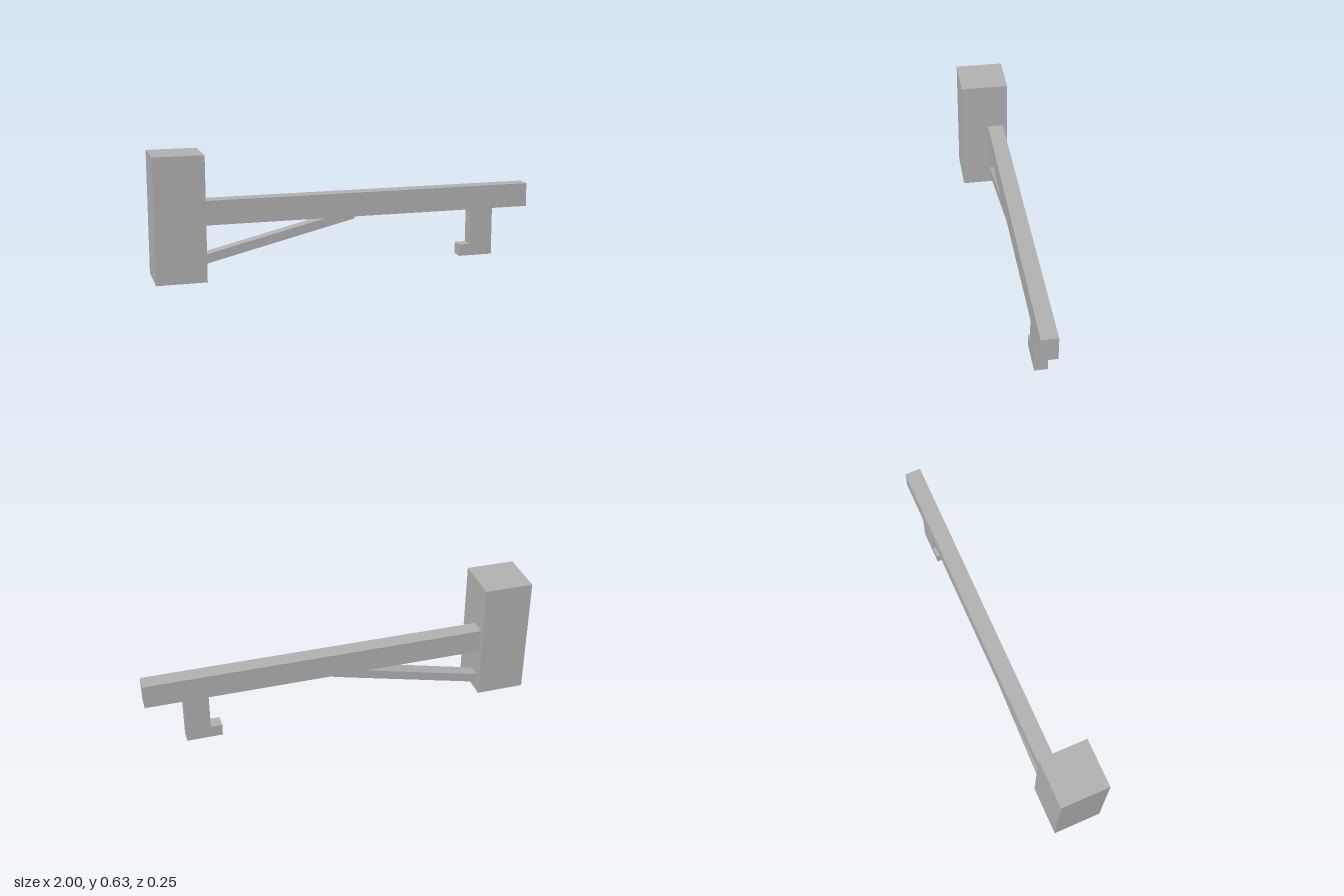
import * as THREE from 'three';

export function createModel() {
  const model = new THREE.Group();
  const grey = new THREE.MeshStandardMaterial({ color: 0xb2b2b2 });
  grey.name = 'plain grey';

  // Extrudes a front outline between two depths
  function slab(name, points, zBack, zFront) {
    const shape = new THREE.Shape(points.map(([x, y]) => new THREE.Vector2(x, y)));
    const geometry = new THREE.ExtrudeGeometry(shape, { depth: zFront - zBack, bevelEnabled: false });
    geometry.translate(0, 0, zBack);
    const mesh = new THREE.Mesh(geometry, grey);
    mesh.name = name;
    model.add(mesh);
  }

  const rect = (x0, x1, y0, y1) => [[x0, y0], [x1, y0], [x1, y1], [x0, y1]];

  // Upright post and the beam reaching out from its side
  slab('post', rect(-1, -0.75, 0, 0.627), -0.125, 0.125);
  slab('beam', rect(-0.75, 1, 0.252, 0.376), -0.1, -0.017);

  // Sloping brace, its upper end let into the beam
  slab('brace', [[-0.75, 0.05], [0.042, 0.24], [0.042, 0.288], [-0.75, 0.098]], -0.091, -0.025);

  // Hanging hook with a toe pointing back to the post
  slab('hook', [[0.625, 0], [0.807, 0], [0.807, 0.252], [0.683, 0.252], [0.683, 0.062], [0.625, 0.062]], -0.091, -0.025);

  return model;
}
